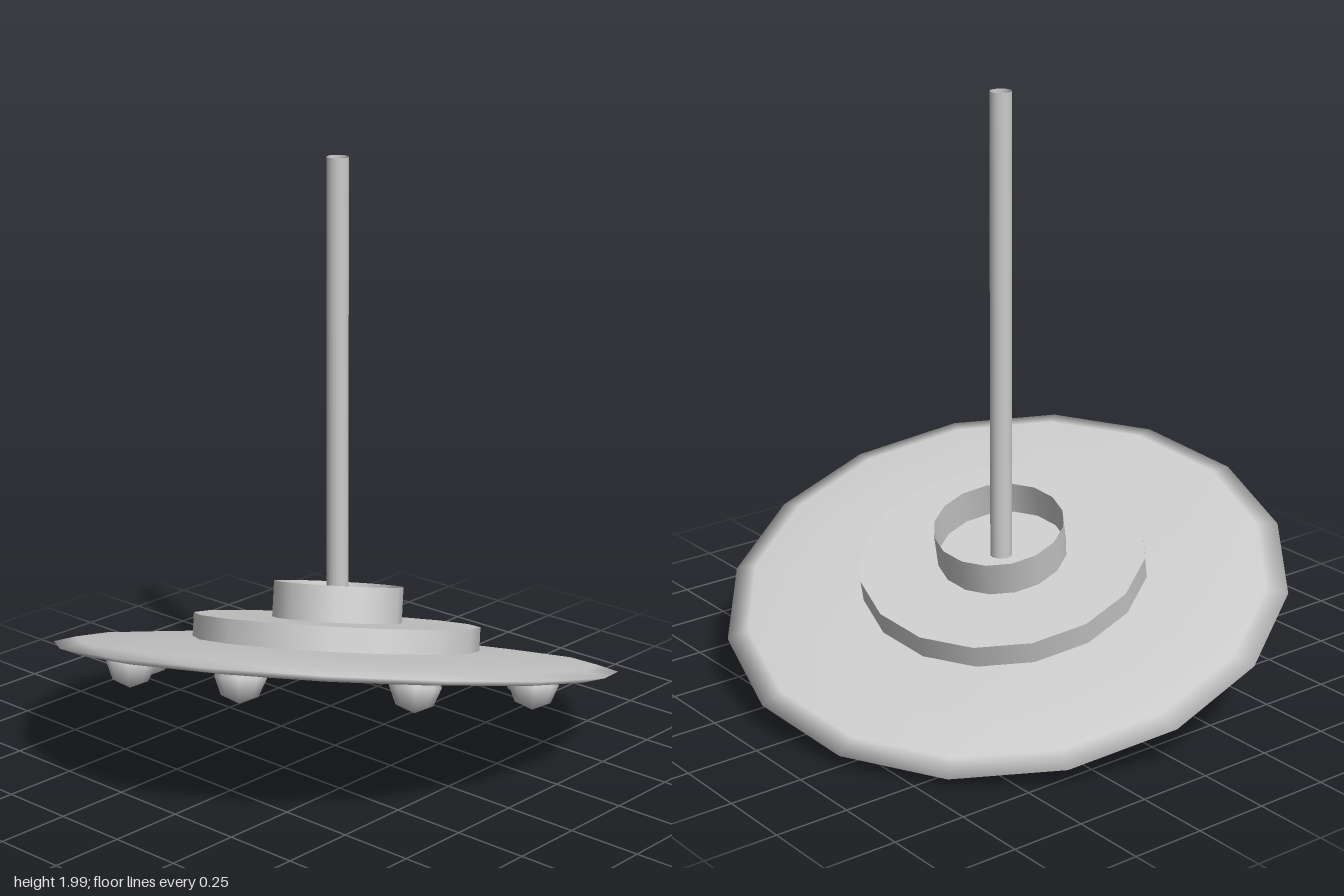
import * as THREE from 'three';

export function createModel() {
  const model = new THREE.Group();
  const mat = new THREE.MeshStandardMaterial({ color: 0xcccccc, side: THREE.DoubleSide });
  const SIDES = 16, RIM = 0.945, DOME = 0.052;

  const add = (parent, name, geometry, x, y, z) => {
    const mesh = new THREE.Mesh(geometry, mat);
    mesh.name = name;
    mesh.position.set(x, y, z);
    parent.add(mesh);
  };

  // Tilted saucer: everything inside is built around its own upright axis
  const saucer = new THREE.Group();
  saucer.name = 'saucer';
  saucer.position.y = 0.327;
  const axis = new THREE.Vector3(0.268, 1, -0.171).normalize();
  saucer.quaternion.setFromUnitVectors(new THREE.Vector3(0, 1, 0), axis);
  saucer.rotateY(THREE.MathUtils.degToRad(-4.8));
  model.add(saucer);

  // Flattened sphere, bulging above and below the rim
  add(saucer, 'hull', new THREE.SphereGeometry(RIM, SIDES, 8).scale(1, DOME / RIM, 1), 0, 0, 0);

  // Raised step with an open collar on top
  add(saucer, 'step', new THREE.CylinderGeometry(0.48, 0.48, 0.1, SIDES), 0, 0.073, 0);
  add(saucer, 'collar', new THREE.CylinderGeometry(0.217, 0.217, 0.12, SIDES, 1, true), 0, 0.183, 0);

  // Ring of eight faceted round knobs set into the underside
  const knobs = new THREE.Group();
  knobs.name = 'knobs';
  saucer.add(knobs);
  const knobShape = new THREE.SphereGeometry(
    0.082, 8, 3, 0, Math.PI * 2, Math.PI / 4, Math.PI * 0.75);
  for (let i = 0; i < 8; i++) {
    const a = (i + 0.5) * Math.PI / 4;
    add(knobs, 'knob', knobShape, 0.705 * Math.cos(a), -0.038, 0.705 * Math.sin(a));
  }

  // Upright hollow pole
  const bottom = 0.44, top = 2;
  add(model, 'pole', new THREE.CylinderGeometry(0.036, 0.036, top - bottom, SIDES, 1, true),
    0.041, (top + bottom) / 2, -0.026);

  return model;
}
